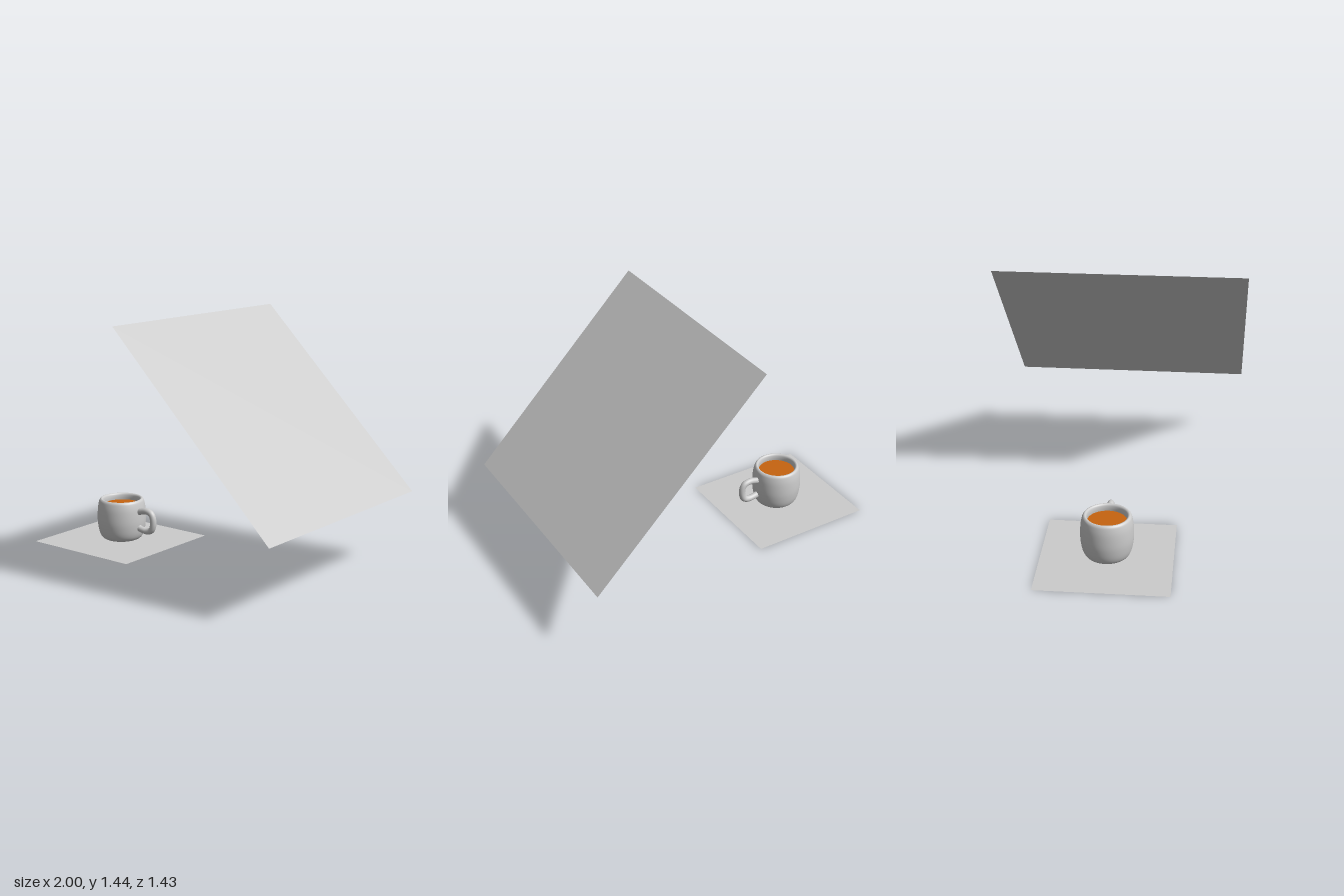
import * as THREE from 'three';

const grey = new THREE.MeshStandardMaterial({ color: 0xcccccc, side: THREE.DoubleSide });
const brown = new THREE.MeshStandardMaterial({ color: 0xc66410 });

function part(name, geometry, material, parent) {
  const mesh = new THREE.Mesh(geometry, material);
  mesh.name = name;
  parent.add(mesh);
  return mesh;
}

export function createModel() {
  const model = new THREE.Group();
  model.name = 'mugScene';

  // Flat square mat on the ground
  const mat = part('mat', new THREE.PlaneGeometry(0.742, 0.742), grey, model);
  mat.rotation.x = -Math.PI / 2;
  mat.position.set(-0.629, 0, -0.013);

  // Floating panel, sloping down towards +x at 45 degrees
  const panel = part('tiltedPanel', new THREE.PlaneGeometry(1.015 * Math.SQRT2, 1.43), grey, model);
  panel.rotation.set(-Math.PI / 2, Math.PI / 4, 0, 'ZYX');
  // Orientation from explicit axes: width down the slope, height along -z
  const slope = new THREE.Vector3(1, -1, 0).normalize();
  const across = new THREE.Vector3(0, 0, -1);
  const normal = new THREE.Vector3().crossVectors(slope, across);
  panel.quaternion.setFromRotationMatrix(new THREE.Matrix4().makeBasis(slope, across, normal));
  panel.position.set(0.4925, 0.928, 0);

  const mug = new THREE.Group();
  mug.name = 'mug';
  mug.position.set(-0.62, 0, -0.0125);
  model.add(mug);

  // Body: outer wall, rounded rim, inner wall and floor in one profile
  const profile = new THREE.SplineCurve([
    [0, 0.005], [0.06, 0.005], [0.095, 0.007], [0.122, 0.022], [0.138, 0.055],
    [0.147, 0.105], [0.149, 0.15], [0.146, 0.205], [0.139, 0.242], [0.133, 0.256],
    [0.124, 0.262], [0.115, 0.257], [0.111, 0.244], [0.111, 0.22], [0.117, 0.15],
    [0.112, 0.07], [0.09, 0.035], [0.05, 0.03], [0, 0.03],
  ].map(([r, y]) => new THREE.Vector2(r, y)));
  const points = profile.getPoints(72);
  points.forEach((p) => { p.x = Math.max(p.x, 0); });
  part('mugBody', new THREE.LatheGeometry(points, 64), grey, mug);

  // Drink surface
  const drink = part('drink', new THREE.CircleGeometry(0.112, 64), brown, mug);
  drink.rotation.x = -Math.PI / 2;
  drink.position.y = 0.222;

  // Handle: a rounded loop on the +x side
  const path = new THREE.CatmullRomCurve3([
    [0.135, 0.193], [0.165, 0.203], [0.205, 0.209], [0.238, 0.198], [0.252, 0.17],
    [0.252, 0.125], [0.238, 0.096], [0.205, 0.084], [0.165, 0.088], [0.132, 0.096],
  ].map(([x, y]) => new THREE.Vector3(x, y, 0)));
  part('mugHandle', new THREE.TubeGeometry(path, 48, 0.0195, 20), grey, mug);

  return model;
}
